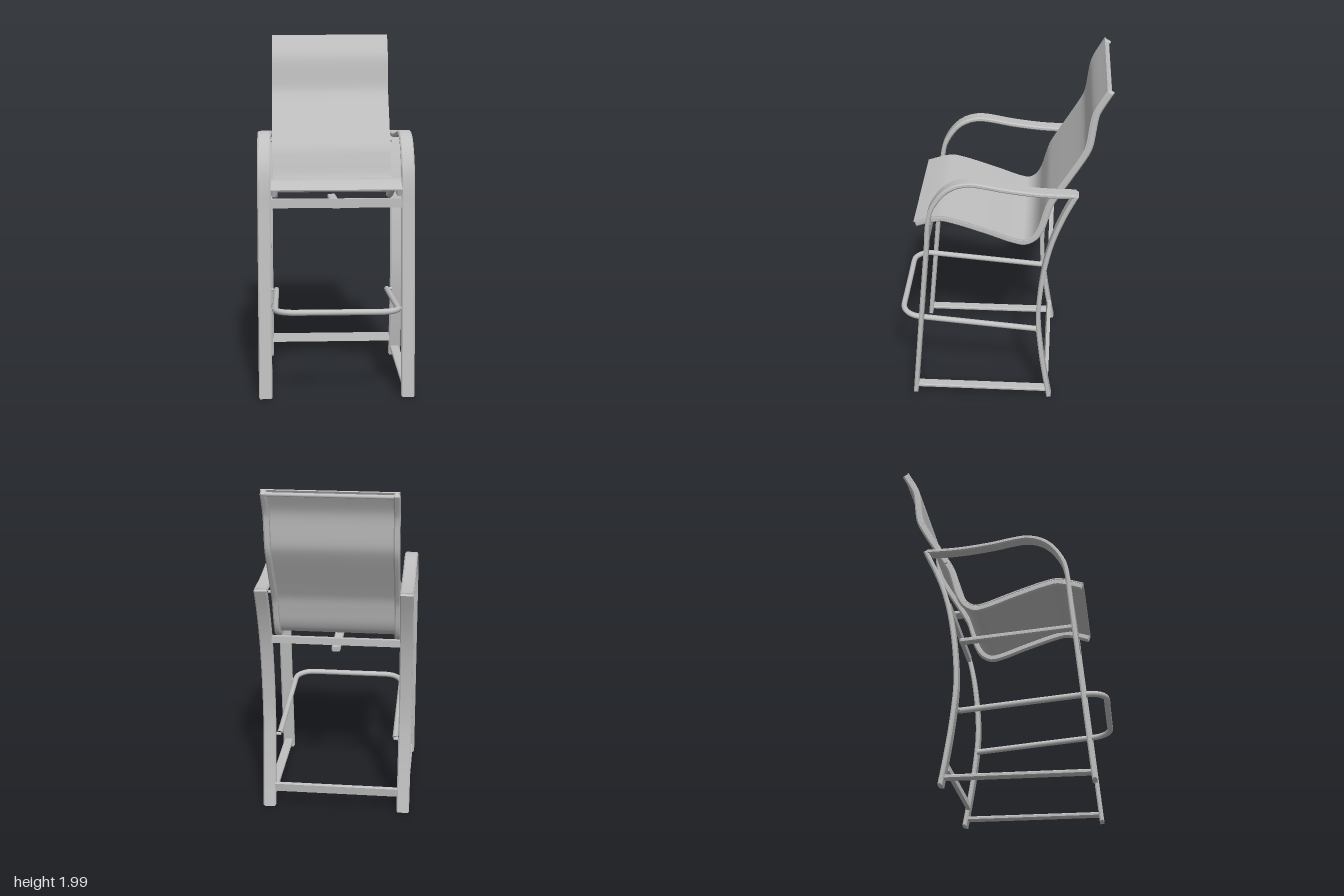
import * as THREE from 'three';
import { toCreasedNormals } from 'three/addons/utils/BufferGeometryUtils.js';

const V = (x, y, z) => new THREE.Vector3(x, y, z);

// Smooth side-view path through [z, y] points, as evenly spaced samples
function sample(points, n) {
  const curve = new THREE.CatmullRomCurve3(points.map(([z, y]) => V(z, y, 0)), false, 'centripetal');
  return curve.getSpacedPoints(n);
}

// Bar of a given thickness that follows a side-view path, extruded across x.
// shift moves it off the path, towards the upper or front side.
function strip(points, thickness, width, { n = 1, bevel = 0, shift = 0 } = {}) {
  const path = sample(points, n);
  const upper = [], lower = [];
  path.forEach((p, i) => {
    const a = path[Math.max(i - 1, 0)], b = path[Math.min(i + 1, n)];
    const t = b.clone().sub(a).normalize();
    const at = (d) => new THREE.Vector2(p.x + t.y * d, p.y - t.x * d);
    upper.push(at(shift + thickness / 2));
    lower.push(at(shift - thickness / 2));
  });
  const geometry = new THREE.ExtrudeGeometry(new THREE.Shape([...upper, ...lower.reverse()]), {
    depth: width - 2 * bevel, steps: 1,
    bevelEnabled: bevel > 0, bevelSize: bevel, bevelOffset: -bevel,
    bevelThickness: bevel, bevelSegments: 1,
  });
  geometry.translate(0, 0, bevel - width / 2);
  geometry.rotateY(-Math.PI / 2);
  return toCreasedNormals(geometry, 0.55);
}

export function createModel() {
  const group = new THREE.Group();
  const grey = new THREE.MeshStandardMaterial({ color: 0xc0c0c0 });
  grey.name = 'light grey';

  const add = (name, geometry, x = 0, y = 0, z = 0) => {
    const mesh = new THREE.Mesh(geometry, grey);
    mesh.name = name;
    mesh.position.set(x, y, z);
    group.add(mesh);
    return mesh;
  };

  // Side-view paths as [z, y]
  const frontLegAndArm = [
    [0.5, 0.005], [0.472, 0.3], [0.435, 0.69], [0.398, 1.077], [0.39, 1.18], [0.368, 1.285],
    [0.3, 1.39], [0.235, 1.435], [0.16, 1.453], [0.08, 1.445], [-0.03, 1.425],
    [-0.2, 1.405], [-0.32, 1.4], [-0.42, 1.4],
  ];
  const backLeg = [
    [-0.302, 0.005], [-0.277, 0.15], [-0.25, 0.334], [-0.23, 0.546], [-0.232, 0.68],
    [-0.25, 0.865], [-0.277, 1.02], [-0.313, 1.15], [-0.365, 1.285], [-0.422, 1.405],
  ];
  const railPath = [
    [0.467, 1.155], [0.38, 1.183], [0.323, 1.194], [0.25, 1.179], [0.07, 1.12], [-0.09, 1.063],
    [-0.145, 1.055], [-0.195, 1.082], [-0.232, 1.14], [-0.262, 1.24], [-0.282, 1.305],
    [-0.32, 1.375], [-0.465, 1.625], [-0.481, 1.67], [-0.503, 1.83], [-0.514, 1.868], [-0.578, 1.985],
  ];

  // Side frames and sling rails, mirrored
  for (const [side, s] of [['left', 1], ['right', -1]]) {
    add(side + 'FrontLegAndArm', strip(frontLegAndArm, 0.026, 0.075, { n: 64, bevel: 0.007 }), s * 0.3975);
    add(side + 'BackLeg', strip(backLeg, 0.026, 0.075, { n: 36, bevel: 0.007 }), s * 0.3975);
    add(side + 'FloorBar', strip([[0.495, 0.052], [-0.293, 0.052]], 0.022, 0.055, { bevel: 0.005 }), s * 0.3975);
    add(side + 'SlingRail', strip(railPath, 0.038, 0.033, { n: 90, bevel: 0.008 }), s * 0.342);
  }

  // Sling seat and back in one sheet
  add('sling', strip(railPath, 0.007, 0.72, { n: 90, shift: 0.018 }));

  // Spreader behind the top of the sling
  const spreader = add('topSpreader', new THREE.CylinderGeometry(0.011, 0.011, 0.66, 12), 0, 1.972, -0.573);
  spreader.rotation.z = Math.PI / 2;

  // Cross bars between the side frames
  add('frontCrossBar', new THREE.BoxGeometry(0.73, 0.05, 0.022), 0, 1.09, 0.398);
  add('backCrossBar', new THREE.BoxGeometry(0.73, 0.04, 0.024), 0, 1.07, -0.288);
  const low = add('lowerBackCrossBar', new THREE.BoxGeometry(0.73, 0.052, 0.022), 0, 0.125, -0.281);
  low.rotation.x = -0.17;

  // Centre bar under the seat
  add('seatSupport', strip([[0.4, 1.074], [-0.285, 1.02]], 0.028, 0.05, { bevel: 0.006 }));

  // U-shaped footrest tube, sloping up to the front
  const half = [[0.341, -0.225], [0.341, 0], [0.341, 0.25], [0.341, 0.42]];
  for (let i = 0; i <= 6; i++) {
    const a = (i / 6) * Math.PI / 2;
    half.push([0.236 + 0.105 * Math.cos(a), 0.468 + 0.105 * Math.sin(a)]);
  }
  half.push([0.12, 0.573]);
  const u = [...half, ...half.map(([x, z]) => [-x, z]).reverse()];
  const uCurve = new THREE.CatmullRomCurve3(
    u.map(([x, z]) => V(x, 0.447 + (z + 0.225) * 0.087, z)), false, 'centripetal');
  add('footrest', new THREE.TubeGeometry(uCurve, 110, 0.0165, 14));

  // Pegs joining footrest and rails to the side frames
  for (const s of [1, -1]) {
    for (const [name, y, z] of [['footrestFrontPeg', 0.505, 0.453], ['footrestBackPeg', 0.447, -0.225],
      ['railFrontPeg', 1.186, 0.388], ['railBackPeg', 1.36, -0.315]]) {
      const peg = add(name, new THREE.CylinderGeometry(0.009, 0.009, 0.04, 10), s * 0.352, y, z);
      peg.rotation.z = Math.PI / 2;
    }
  }
  return group;
}
